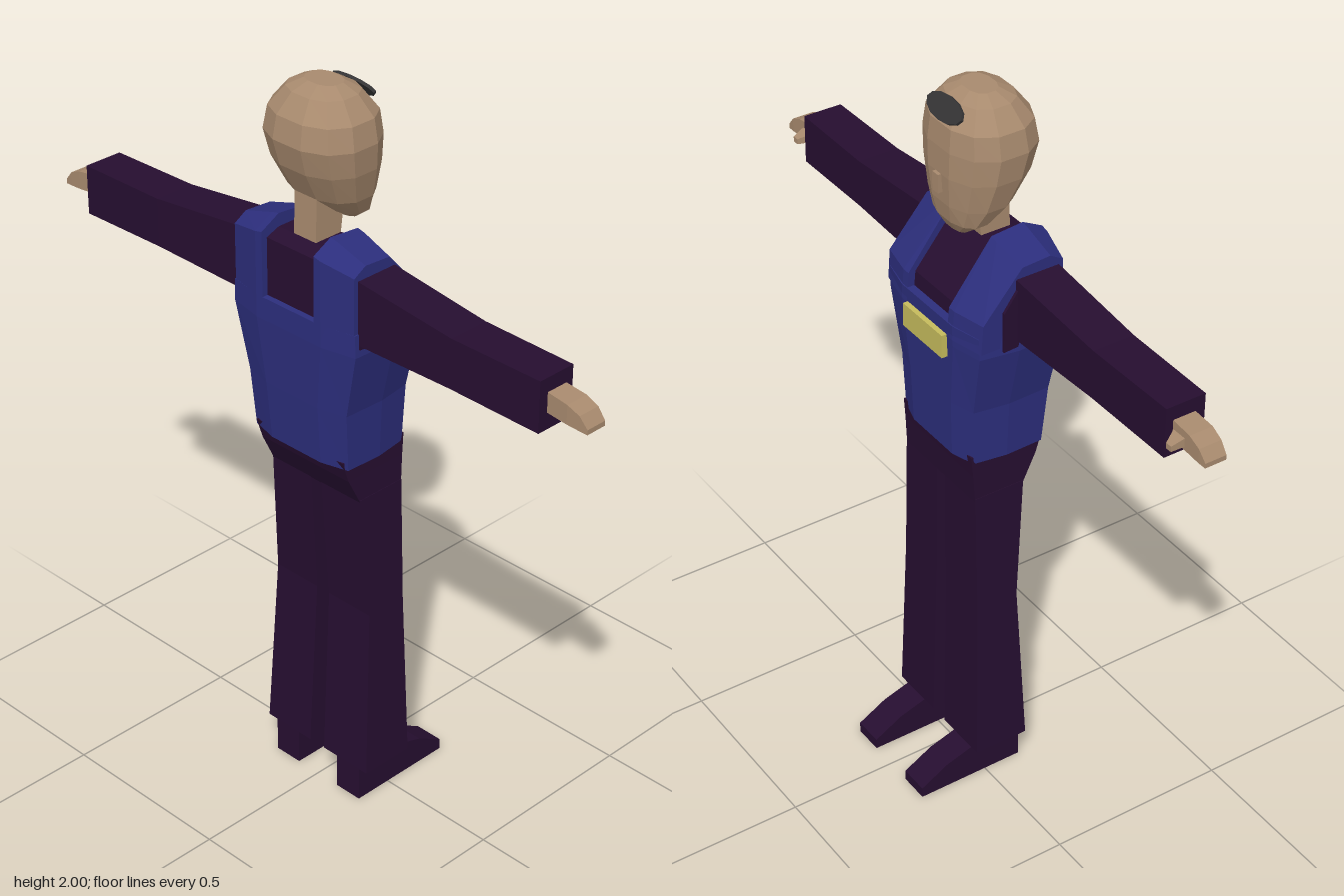
import * as THREE from 'three';

const mat = (name, color) => {
  const m = new THREE.MeshStandardMaterial({ color, flatShading: true });
  m.name = name;
  return m;
};

// Closed solid through rings of [x, y, z] points; capped, and turned outward by its signed volume
function loft(rings) {
  const tris = [], n = rings[0].length;
  const mid = r => [0, 1, 2].map(k => r.reduce((s, p) => s + p[k], 0) / n);
  const first = rings[0], last = rings[rings.length - 1];
  const c0 = mid(first), c1 = mid(last);
  for (let i = 0; i < n; i++) {
    const j = (i + 1) % n;
    for (let r = 0; r + 1 < rings.length; r++) {
      const a = rings[r], b = rings[r + 1];
      tris.push([a[i], a[j], b[j]], [a[i], b[j], b[i]]);
    }
    tris.push([c0, first[j], first[i]], [c1, last[i], last[j]]);
  }
  const v = p => new THREE.Vector3(...p).sub(new THREE.Vector3(...c0));
  const volume = tris.reduce((s, [a, b, c]) => s + v(a).dot(v(b).cross(v(c))), 0);
  if (volume < 0) tris.forEach(t => t.reverse());
  const geo = new THREE.BufferGeometry();
  geo.setAttribute('position', new THREE.Float32BufferAttribute(tris.flat(2), 3));
  geo.computeVertexNormals();
  return geo;
}

// Ring shapes: horizontal box, horizontal eight-sided body, upright box across x, side outline at x
const flatBox = (y, x0, x1, z0, z1) => [[x0, y, z0], [x1, y, z0], [x1, y, z1], [x0, y, z1]];
const bodyRing = (y, w, zf, zb) => [
  [-w * 0.52, y, zf], [w * 0.52, y, zf], [w * 0.92, y, zf + 0.02], [w, y, 0.05],
  [w * 0.98, y, zb - 0.02], [w * 0.52, y, zb], [-w * 0.52, y, zb], [-w * 0.98, y, zb - 0.02],
  [-w, y, 0.05], [-w * 0.92, y, zf + 0.02]];
const sideBox = (x, y0, y1, z0, z1) => [[x, y0, z0], [x, y1, z0], [x, y1, z1], [x, y0, z1]];
const outline = (x, pts) => pts.map(([z, y]) => [x, y, z]);

function headRing([y, w, zf, zb]) {
  const ring = [], soft = t => Math.sign(t) * Math.abs(t) ** 0.85;
  for (let i = 0; i < 12; i++) {
    const a = ((i + 0.5) / 12) * Math.PI * 2;
    ring.push([w * soft(Math.cos(a)) * 1.03, y, (zf + zb) / 2 + ((zb - zf) / 2) * soft(Math.sin(a)) * 1.02]);
  }
  return ring;
}

export function createModel() {
  const model = new THREE.Group();
  const skin = mat('skin', 0xa88a6e), vest = mat('vestBlue', 0x2c2e7c), cloth = mat('darkCloth', 0x260e30);
  const yellow = mat('badgeYellow', 0xc6bb5c), hair = mat('hairGrey', 0x353435);
  const add = (name, geo, material, parent = model) => {
    const mesh = new THREE.Mesh(geo, material);
    mesh.name = name;
    parent.add(mesh);
    return mesh;
  };

  // Head and neck; the face looks toward -z
  add('head', loft([
    [1.64, 0.045, -0.01, 0.03], [1.67, 0.085, -0.026, 0.075], [1.72, 0.11, -0.036, 0.135],
    [1.8, 0.133, -0.042, 0.178], [1.87, 0.142, -0.042, 0.197], [1.93, 0.131, -0.036, 0.187],
    [1.98, 0.09, 0.0, 0.15], [2.0, 0.05, 0.035, 0.11],
  ].map(headRing)), skin);
  add('nose', new THREE.BoxGeometry(0.024, 0.05, 0.02), skin).position.set(0, 1.775, -0.04);
  add('neck', loft([flatBox(1.58, -0.037, 0.037, 0.06, 0.14), flatBox(1.73, -0.037, 0.037, 0.04, 0.135)]), skin);
  const patch = add('hairPatch', new THREE.CylinderGeometry(1, 1, 0.008, 12), hair);
  patch.scale.set(0.07, 1, 0.031);
  patch.position.set(0.005, 1.96, -0.018);
  patch.rotation.x = -0.95;

  // Vest body, with the shirt showing between the straps
  add('vestBody', loft([
    bodyRing(1.04, 0.165, -0.06, 0.175), bodyRing(1.2, 0.172, -0.066, 0.188),
    bodyRing(1.38, 0.212, -0.074, 0.197), bodyRing(1.44, 0.21, -0.076, 0.197),
  ]), vest);
  const shirt = [[0.18, 1.4], [0.18, 1.595], [0.14, 1.61], [0.055, 1.61], [-0.05, 1.48], [-0.057, 1.4]];
  add('shirt', loft([outline(-0.1, shirt), outline(0.1, shirt)]), cloth);
  add('badge', new THREE.BoxGeometry(0.17, 0.065, 0.016), yellow).position.set(0, 1.37, -0.081);

  // Waist of the trousers
  add('hips', loft([
    flatBox(0.92, -0.155, 0.155, -0.037, 0.105), flatBox(1.0, -0.153, 0.153, -0.042, 0.145),
    flatBox(1.06, -0.152, 0.152, -0.047, 0.165),
  ]), cloth);

  for (const s of [1, -1]) {
    const side = new THREE.Group();
    side.name = s > 0 ? 'leftSide' : 'rightSide';
    model.add(side);
    const part = (name, rings, material) =>
      add(name, loft(rings.map(r => r.map(([x, y, z]) => [s * x, y, z]))), material, side);

    // Shoulder strap running over from chest to back
    part('vestStrap', [
      outline(0.088, [[0.197, 1.4], [0.197, 1.615], [0.14, 1.645], [0.05, 1.637], [-0.07, 1.48], [-0.076, 1.4]]),
      outline(0.11, [[0.197, 1.4], [0.197, 1.61], [0.14, 1.64], [0.05, 1.632], [-0.07, 1.48], [-0.076, 1.4]]),
      outline(0.203, [[0.177, 1.4], [0.177, 1.59], [0.14, 1.612], [0.06, 1.607], [-0.05, 1.48], [-0.055, 1.4]]),
    ], vest);

    // Armhole, sleeve and hand
    const hole = [[0.165, 1.4], [0.165, 1.57], [0.06, 1.575], [0.005, 1.5], [0.005, 1.39]];
    part('armhole', [outline(0.19, hole), outline(0.211, hole)], cloth);
    part('sleeve', [
      sideBox(0.18, 1.41, 1.582, 0.042, 0.165), sideBox(0.5, 1.415, 1.547, 0.05, 0.165),
      sideBox(0.77, 1.41, 1.545, 0.054, 0.164),
    ], cloth);
    part('hand', [
      sideBox(0.76, 1.455, 1.508, 0.075, 0.137), sideBox(0.83, 1.45, 1.5, 0.075, 0.14),
      sideBox(0.865, 1.447, 1.485, 0.075, 0.138), sideBox(0.888, 1.445, 1.458, 0.077, 0.136),
    ], skin);
    part('thumb', [
      [[0.77, 1.46, 0.08], [0.815, 1.46, 0.08], [0.815, 1.485, 0.08], [0.77, 1.485, 0.08]],
      [[0.79, 1.455, 0.042], [0.808, 1.455, 0.042], [0.808, 1.47, 0.042], [0.79, 1.47, 0.042]],
    ], skin);

    // Trouser leg and shoe
    part('trouserLeg', [
      flatBox(0.1, 0.026, 0.183, -0.045, 0.11), flatBox(0.58, 0.022, 0.167, -0.036, 0.085),
      flatBox(0.93, 0.019, 0.156, -0.037, 0.107),
    ], cloth);
    const shoe = [[0.108, 0], [0.108, 0.11], [-0.04, 0.1], [-0.12, 0.075], [-0.2, 0.03], [-0.2, 0]];
    part('shoe', [outline(0.072, shoe), outline(0.154, shoe)], cloth);
  }
  return model;
}
